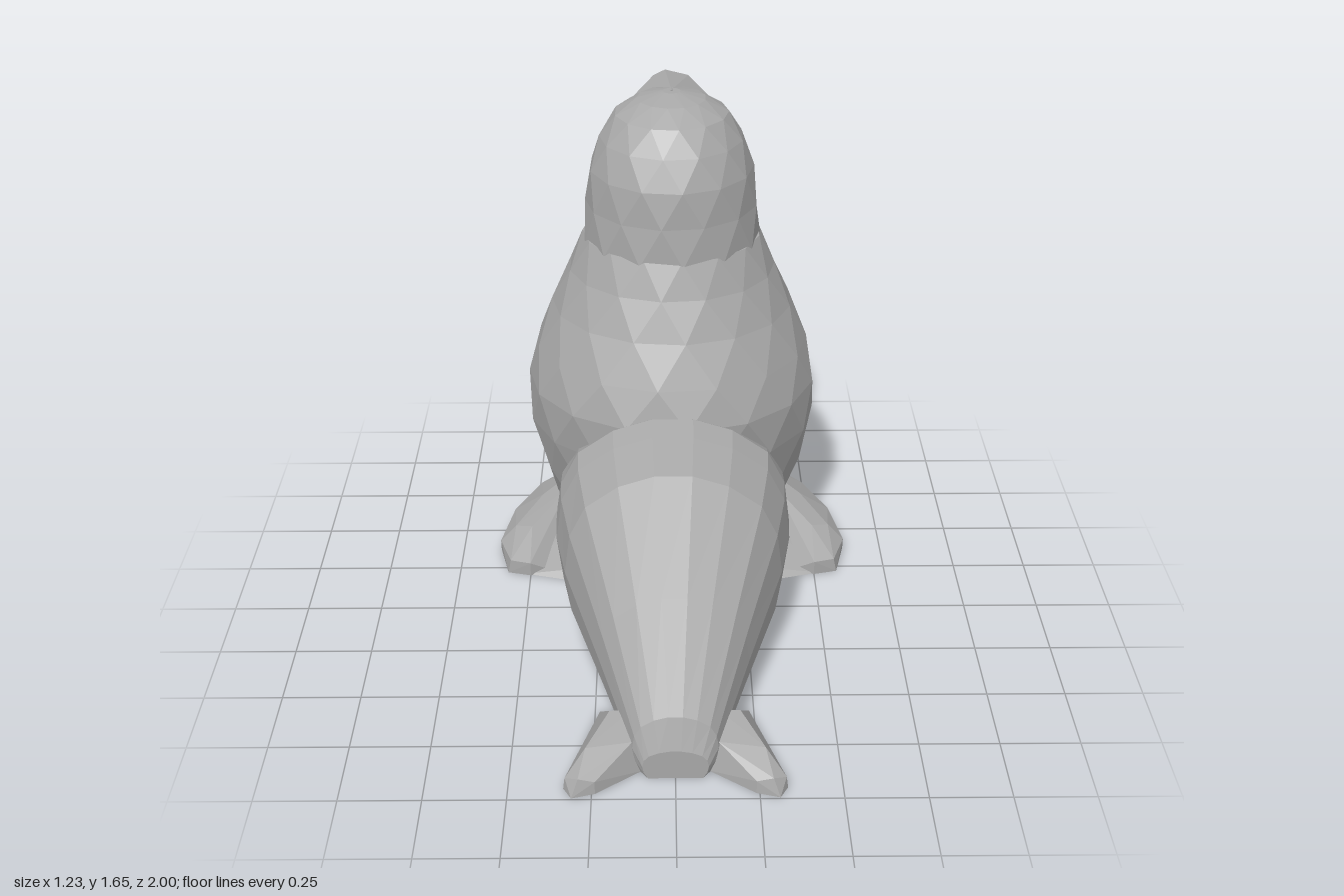
import * as THREE from 'three';
import { ConvexGeometry } from 'three/addons/geometries/ConvexGeometry.js';

const V = (x, y, z) => new THREE.Vector3(x, y, z);

// Faceted skin over a list of closed rings, with both ends capped.
function loft(rings) {
  const pos = [];
  const tri = (...pts) => pts.forEach((p) => pos.push(p.x, p.y, p.z));
  const n = rings[0].length;
  const mid = (ring) => ring.reduce((s, p) => s.add(p), V(0, 0, 0)).divideScalar(n);
  const last = rings[rings.length - 1];
  const first = rings[0], c0 = mid(first), c1 = mid(last);
  for (let j = 0; j < n; j++) {
    const k = (j + 1) % n;
    for (let i = 0; i < rings.length - 1; i++) {
      const a = rings[i], b = rings[i + 1];
      tri(a[j], b[j], a[k]);
      tri(a[k], b[j], b[k]);
    }
    tri(c0, first[j], first[k]);
    tri(c1, last[k], last[j]);
  }
  const g = new THREE.BufferGeometry();
  g.setAttribute('position', new THREE.Float32BufferAttribute(pos, 3));
  g.computeVertexNormals();
  return g;
}

// Upright body: each row is [y, half width, front z, back z]; rings are
// turned half a step each to give a triangular facet pattern.
function uprightRings(rows, sides) {
  return rows.map(([y, w, zf, zb], i) =>
    Array.from({ length: sides }, (_, j) => {
      const a = ((j + i * 0.5) / sides) * Math.PI * 2;
      return V(w * 1.01 * Math.cos(a), y, (zf + zb) / 2 + ((zb - zf) / 2) * 1.01 * Math.sin(a));
    }));
}

export function createModel() {
  const group = new THREE.Group();
  const grey = new THREE.MeshStandardMaterial({ color: 0xa8a8a8 });
  grey.name = 'grey';
  const add = (name, geometry) => {
    const mesh = new THREE.Mesh(geometry, grey);
    mesh.name = name;
    group.add(mesh);
  };

  // Chest, neck base
  add('torso', loft(uprightRings([
    [0, 0.3, -0.72, -0.3],
    [0.08, 0.36, -0.8, -0.26],
    [0.19, 0.415, -0.89, -0.2],
    [0.33, 0.46, -0.96, -0.13],
    [0.5, 0.495, -0.99, -0.08],
    [0.65, 0.495, -1.0, -0.06],
    [0.78, 0.465, -0.975, -0.1],
    [0.92, 0.41, -0.93, -0.165],
    [1.05, 0.35, -0.88, -0.22],
    [1.17, 0.3, -0.85, -0.265],
  ], 15)));

  // Rounded head
  add('head', loft(uprightRings([
    [1.15, 0.3, -0.85, -0.26],
    [1.28, 0.29, -0.85, -0.272],
    [1.4, 0.275, -0.845, -0.285],
    [1.5, 0.24, -0.82, -0.33],
    [1.58, 0.19, -0.78, -0.39],
    [1.625, 0.115, -0.71, -0.475],
    [1.645, 0.03, -0.63, -0.57],
  ], 13)));

  // Upturned snout blending into the crown and throat
  const snout = [V(0, 1.648, -0.6), V(-0.02, 1.625, -0.89), V(0.01, 1.15, -0.82), V(0, 1.3, -0.86)];
  for (const s of [-1, 1]) {
    snout.push(V(s * 0.04, 1.57, -0.935), V(s * 0.035, 1.5, -0.93),
      V(s * 0.06, 1.615, -0.86), V(s * 0.15, 1.57, -0.7),
      V(s * 0.2, 1.42, -0.74), V(s * 0.14, 1.3, -0.8));
  }
  add('snout', new ConvexGeometry(snout));

  // Tapering hind body with a flat belly: rows are [z, half width, height]
  const section = [[1, 0.43], [0.95, 0.65], [0.8, 0.82], [0.5, 0.94], [0.17, 1], [-0.17, 1],
    [-0.5, 0.94], [-0.8, 0.82], [-0.95, 0.65], [-1, 0.43], [-0.95, 0.2], [-0.83, 0],
    [0.83, 0], [0.95, 0.2]];
  add('hindBody', loft([
    [0.905, 0.1, 0.1], [0.87, 0.13, 0.2], [0.55, 0.235, 0.405], [0.2, 0.355, 0.635],
    [0.02, 0.39, 0.675], [-0.07, 0.395, 0.695], [-0.25, 0.4, 0.6], [-0.5, 0.36, 0.4],
  ].map(([z, w, h]) => section.map(([x, y]) => V(x * w, y * h, z)))));

  // Paired flippers, flat underneath
  for (const s of [1, -1]) {
    const side = s > 0 ? 'left' : 'right';
    const hull = (pts) => new ConvexGeometry(pts.map(([x, y, z]) => V(s * x, y, z)));
    add(side + 'FrontFlipper', hull([
      [0.25, 0, -0.78], [0.39, 0, -0.84], [0.5, 0, -0.75], [0.58, 0, -0.56], [0.615, 0, -0.37],
      [0.58, 0, -0.22], [0.5, 0, -0.2], [0.42, 0, -0.23], [0.25, 0, -0.48],
      [0.615, 0.045, -0.36], [0.57, 0.05, -0.22], [0.5, 0.05, -0.2], [0.575, 0.06, -0.55],
      [0.49, 0.06, -0.74], [0.4, 0.05, -0.83], [0.39, 0.1, -0.78], [0.56, 0.095, -0.38],
      [0.5, 0.11, -0.35], [0.47, 0.125, -0.55], [0.38, 0.15, -0.55], [0.34, 0.165, -0.68],
    ]));
    // Web between the front flipper and the belly
    add(side + 'FlipperWeb', hull([
      [0.3, 0, -0.17], [0.37, 0, -0.17], [0.52, 0, -0.21], [0.48, 0, -0.5], [0.28, 0, -0.5],
      [0.37, 0.03, -0.19], [0.4, 0.1, -0.45], [0.3, 0.13, -0.45],
    ]));
    add(side + 'HindFlipper', hull([
      [0.06, 0, 0.8], [0.1, 0, 0.87], [0.24, 0, 0.975], [0.31, 0, 0.995], [0.335, 0, 0.95],
      [0.235, 0, 0.58], [0.1, 0, 0.58], [0.33, 0.04, 0.95], [0.29, 0.055, 0.975],
      [0.24, 0.04, 0.97], [0.27, 0.095, 0.88], [0.2, 0.125, 0.74], [0.13, 0.13, 0.74],
      [0.13, 0.1, 0.86],
    ]));
  }
  return group;
}
